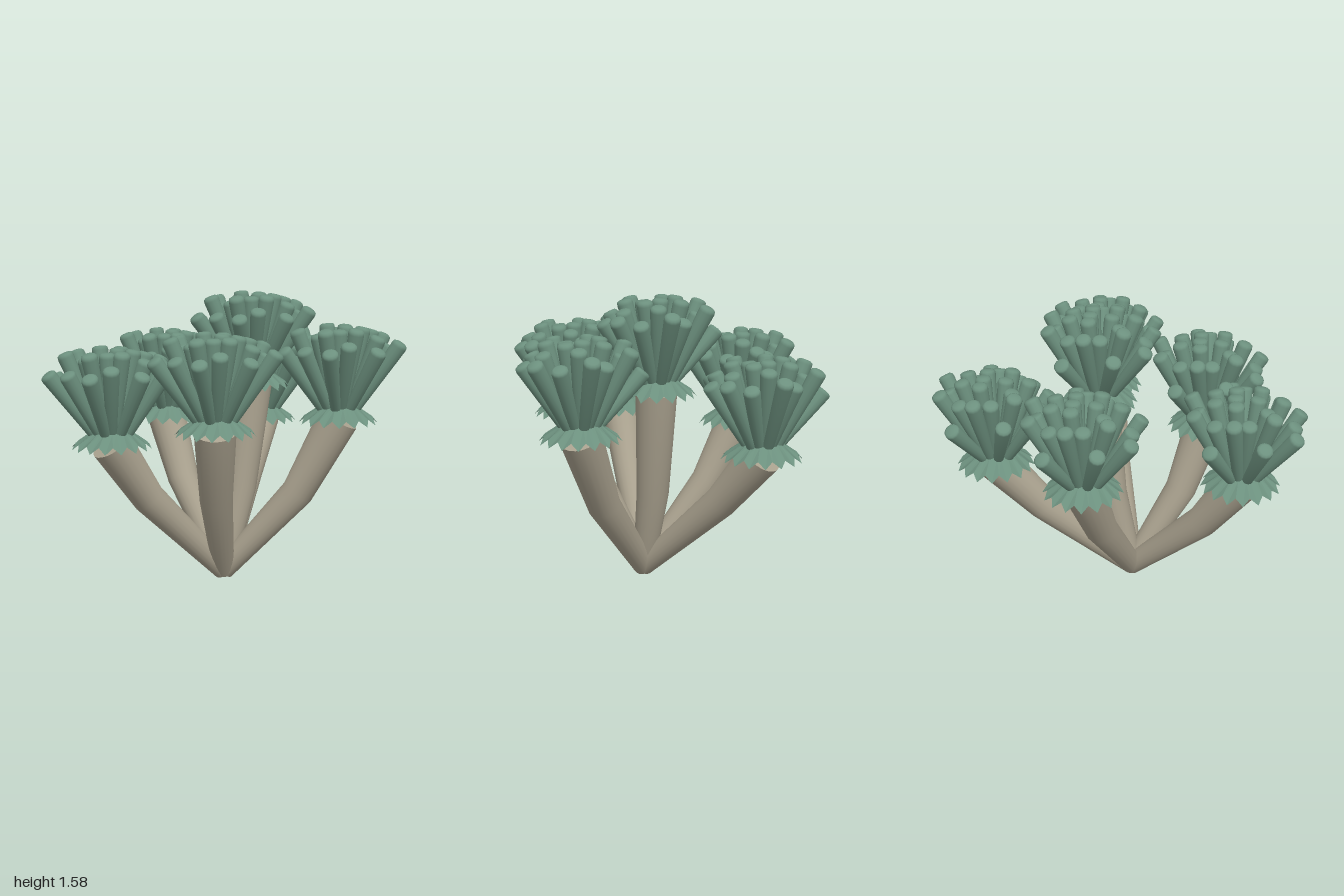
import * as THREE from 'three';
import { toCreasedNormals } from 'three/addons/utils/BufferGeometryUtils.js';

const UP = new THREE.Vector3(0, 1, 0);
const V = (x, y, z) => new THREE.Vector3(x, y, z);
const stalkMat = new THREE.MeshStandardMaterial({ color: 0xaaa28f });
const tentacleMat = new THREE.MeshStandardMaterial({ color: 0x6c907e });
const frillMat = new THREE.MeshStandardMaterial({ color: 0x6c907e, flatShading: true, side: THREE.DoubleSide });

// Head positions: x, height of the frill's upper edge, z
const HEADS = [
  [-0.65, 0.88, -0.10],
  [-0.30, 0.96, 0.32],
  [0.40, 0.98, 0.52],
  [0.22, 1.14, 0.03],
  [0.06, 0.91, -0.53],
  [0.66, 0.86, -0.37],
];

// Bent, widening stalk: a two-section cylinder whose rings follow three points
function stalkGeometry(x, y, z) {
  const points = [V(0.02, 0.04, 0.02), V(x * 0.67, 0.5, z * 0.67), V(x, y - 0.065, z)];
  const dirs = [points[1].clone().sub(points[0]).normalize(), null, points[2].clone().sub(points[1]).normalize()];
  dirs[1] = dirs[0].clone().add(dirs[2]).normalize();
  const turns = dirs.map((d) => new THREE.Quaternion().setFromUnitVectors(UP, d));
  const radii = [0.06, 0.088, 0.111];
  const geo = new THREE.CylinderGeometry(1, 1, 1, 20, 2);
  const pos = geo.attributes.position;
  for (let i = 0; i < pos.count; i++) {
    const ring = Math.round((pos.getY(i) + 0.5) * 2);
    const p = V(pos.getX(i), 0, pos.getZ(i)).multiplyScalar(radii[ring]);
    p.applyQuaternion(turns[ring]).add(points[ring]);
    pos.setXYZ(i, p.x, Math.max(p.y, 0), p.z);
  }
  return toCreasedNormals(geo, 0.7);
}

// Drooping pleated frill with pointed teeth
function frillGeometry() {
  const geo = new THREE.CylinderGeometry(0.105, 0.2, 0.1, 32, 1, true);
  const pos = geo.attributes.position;
  for (let i = 0; i < pos.count; i++) {
    const tooth = i % 33 % 2 === 0;
    if (pos.getY(i) > 0) {
      pos.setY(i, 0);
    } else {
      const s = tooth ? 1.06 : 0.93;
      pos.setXYZ(i, pos.getX(i) * s, tooth ? -0.088 : -0.055, pos.getZ(i) * s);
    }
  }
  geo.computeVertexNormals();
  return geo;
}

// Tentacle of unit length, widening to a softly rounded tip
const tentacleGeometry = toCreasedNormals(new THREE.LatheGeometry([
  [0, 0], [0.026, 0], [0.043, 0.95], [0.04, 0.985], [0.029, 1], [0, 1.004],
].map(([r, h]) => new THREE.Vector2(r, h)), 12), 0.9);

const frillGeo = frillGeometry();
const discGeo = new THREE.SphereGeometry(0.106, 24, 6, 0, Math.PI * 2, 0, Math.PI / 2).scale(1, 0.25, 1);

// Head: frill, disc and tentacles spread along a golden-angle spiral
function makeHead() {
  const head = new THREE.Group();
  head.name = 'head';
  const frill = new THREE.Mesh(frillGeo, frillMat);
  frill.name = 'frill';
  const disc = new THREE.Mesh(discGeo, tentacleMat);
  disc.name = 'oralDisc';
  disc.position.y = -0.008;
  head.add(frill, disc);

  const count = 26;
  for (let i = 0; i < count; i++) {
    const t = Math.sqrt((i + 0.5) / count);
    const a = i * 2.39996;
    const wobble = -Math.sin(i * 2);
    const base = V(Math.cos(a) * 0.08 * t, -0.03, Math.sin(a) * 0.08 * t);
    const height = 0.432 - 0.135 * t ** 2.4 + 0.06 * wobble * t;
    const tip = V(Math.cos(a) * 0.34 * t, height, Math.sin(a) * 0.34 * t);
    const dir = tip.sub(base);
    const tentacle = new THREE.Mesh(tentacleGeometry, tentacleMat);
    tentacle.name = 'tentacle';
    tentacle.position.copy(base);
    tentacle.scale.y = dir.length();
    tentacle.quaternion.setFromUnitVectors(UP, dir.normalize());
    head.add(tentacle);
  }
  return head;
}

export function createModel() {
  const model = new THREE.Group();
  model.name = 'coralColony';
  for (const [x, y, z] of HEADS) {
    const polyp = new THREE.Group();
    polyp.name = 'polyp';
    const stalk = new THREE.Mesh(stalkGeometry(x, y, z), stalkMat);
    stalk.name = 'stalk';
    const head = makeHead();
    head.position.set(x, y, z);
    polyp.add(stalk, head);
    model.add(polyp);
  }
  return model;
}
